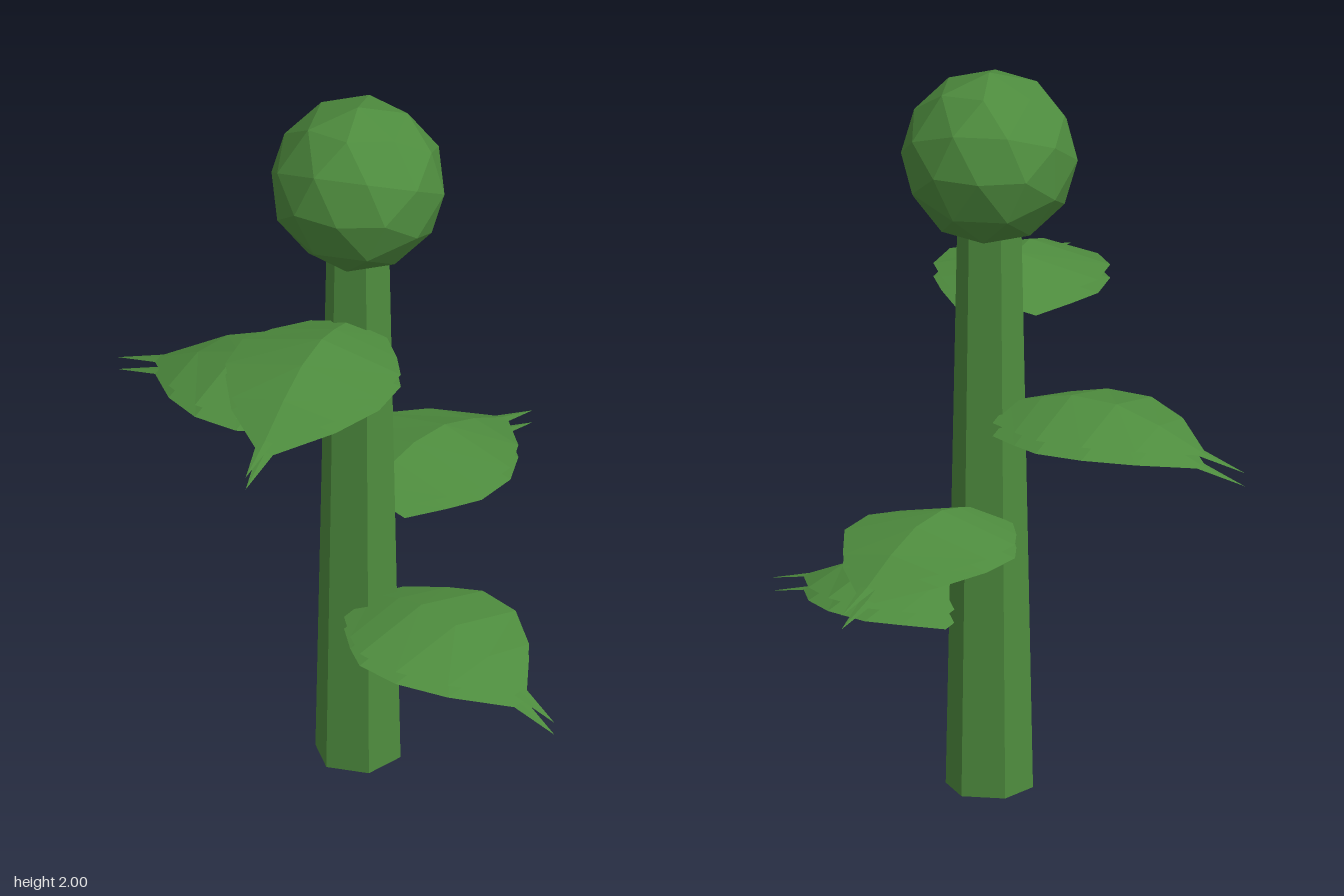
import * as THREE from 'three';

export function createModel() {
  const group = new THREE.Group();
  const green = new THREE.MeshStandardMaterial({ name: 'plantGreen', color: 0x4e8c3e, flatShading: true });
  const leafGreen = green;
  leafGreen.side = THREE.DoubleSide;
  const cx = -0.015, cz = 0.025;

  const add = (parent, name, geometry, x, y, z) => {
    const mesh = new THREE.Mesh(geometry, green);
    mesh.name = name;
    mesh.position.set(x, y, z);
    parent.add(mesh);
    return mesh;
  };

  // Six-sided tapering stem
  add(group, 'stem', new THREE.CylinderGeometry(0.086, 0.117, 1.58, 6), cx, 0.79, cz);

  // Faceted bud, with one five-sided pole facing forward
  const ball = new THREE.IcosahedronGeometry(0.236, 1);
  ball.rotateX(Math.atan(2 / (1 + Math.sqrt(5))));
  ball.rotateZ(Math.PI / 2);
  add(group, 'bud', ball, cx, 1.764, cz);

  // Leaf cross-sections: distance from stem, half width, ridge height, edge height
  const sections = [
    [0.06, 0.11, 0.515, 0.49],
    [0.155, 0.18, 0.543, 0.5],
    [0.24, 0.228, 0.56, 0.505],
    [0.37, 0.222, 0.553, 0.503],
    [0.495, 0.15, 0.512, 0.485],
    [0.615, 0.022, 0.457, 0.453],
    [0.745, 0, 0.415, 0.415],
  ];
  const points = [], faces = [];
  sections.forEach(([d, w, ridge, edge], i) => {
    points.push(d, edge, -w, d, ridge, 0, d, edge, w);
    if (i === sections.length - 1) return;
    for (let k = 0; k < 2; k++) {
      const a = i * 3 + k, b = a + 1, c = a + 3, e = a + 4;
      // The last strip narrows to a point
      if (i === sections.length - 2) faces.push(a, b, e);
      else faces.push(a, b, e, a, e, c);
    }
  });
  const sheet = new THREE.BufferGeometry();
  sheet.setAttribute('position', new THREE.Float32BufferAttribute(points, 3));
  sheet.setIndex(faces);
  sheet.computeVertexNormals();

  // Four double-layered leaves spiralling up the stem
  [[0, 0], [97.4, 0.283], [194.4, 0.57], [292.2, 0.855]].forEach(([angle, lift], i) => {
    const leaf = new THREE.Group();
    leaf.name = 'leaf' + (i + 1);
    leaf.position.set(cx, lift, cz);
    leaf.rotation.y = THREE.MathUtils.degToRad(angle);
    add(leaf, 'upperBlade', sheet, 0, 0, 0);
    add(leaf, 'lowerBlade', sheet, 0, -0.037, 0);
    group.add(leaf);
  });

  return group;
}
